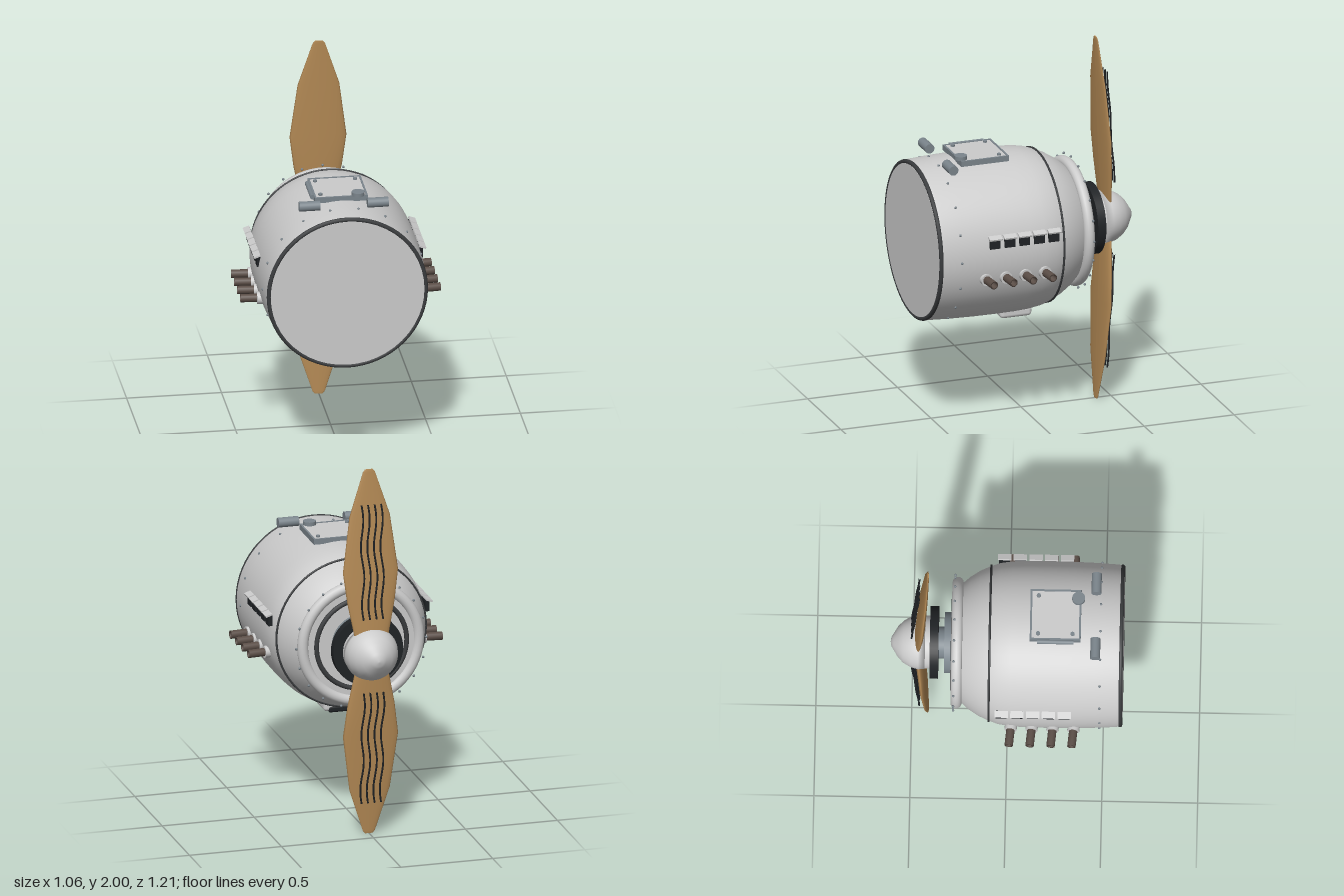
import * as THREE from 'three';
import { RoundedBoxGeometry } from 'three/addons/geometries/RoundedBoxGeometry.js';

const mat = (color, extra = {}) => new THREE.MeshStandardMaterial({ color, ...extra });
const grey = mat(0xcccccc);
const steel = mat(0x7b858c);
const dark = mat(0x3a3c3e);
const black = mat(0x202326);
const rust = mat(0x5a4d46);
const wood = mat(0xb48a55);

export function createModel() {
  const model = new THREE.Group();
  model.name = 'aircraftEngine';
  // Everything in this group is laid out around the engine axis (z)
  const engine = new THREE.Group();
  engine.name = 'engine';
  engine.position.y = 1;
  model.add(engine);

  const add = (name, geometry, material, x = 0, y = 0, z = 0, parent = engine) => {
    const mesh = new THREE.Mesh(geometry, material);
    mesh.name = name;
    mesh.position.set(x, y, z);
    parent.add(mesh);
    return mesh;
  };
  // Surface of revolution about z, from [radius, z] pairs with z increasing
  const turned = (points, segments = 64) => {
    const curve = points.map(([r, z]) => new THREE.Vector2(r, z));
    return new THREE.LatheGeometry(curve, segments).rotateX(Math.PI / 2);
  };
  // Solid disc between two z values
  const disc = (name, r, z0, z1, material) =>
    add(name, new THREE.CylinderGeometry(r, r, z1 - z0, 48).rotateX(Math.PI / 2), material, 0, 0, (z0 + z1) / 2);

  // Cowling shell, seam and mounting end
  add('cowling', turned([[0.31, -0.24], [0.345, -0.2], [0.38, -0.145], [0.402, -0.095], [0.42, -0.045],
    [0.43, 0.02], [0.434, 0.1], [0.435, 0.2], [0.434, 0.33], [0.43, 0.46], [0.424, 0.57], [0.418, 0.6]]),
    mat(0xcccccc, { side: THREE.DoubleSide }));
  add('seamBand', new THREE.TorusGeometry(0.406, 0.006, 8, 64), dark, 0, 0, -0.092);
  add('mountRim', new THREE.TorusGeometry(0.413, 0.012, 10, 64), dark, 0, 0, 0.593);
  disc('mountPlate', 0.405, 0.57, 0.603, grey);

  // Intake lip and recessed face
  add('intakeLip', new THREE.TorusGeometry(0.315, 0.029, 16, 64), grey, 0, 0, -0.264);
  disc('intakeFace', 0.305, -0.275, -0.24, grey);
  add('intakeRing', new THREE.TorusGeometry(0.245, 0.013, 10, 64), dark, 0, 0, -0.283);

  // Rivet rows
  const rivetRow = (name, count, radius, z) => {
    const row = new THREE.Group();
    row.name = name;
    engine.add(row);
    for (let i = 0; i < count; i++) {
      const a = (i / count) * Math.PI * 2;
      add('rivet', new THREE.SphereGeometry(0.007, 8, 6), steel, radius * Math.cos(a), radius * Math.sin(a), z, row);
    }
  };
  rivetRow('cowlingRivets', 18, 0.43, 0.485);
  rivetRow('lipRivets', 20, 0.353, -0.278);

  // Gearbox, shaft and spinner
  disc('gearbox', 0.16, -0.33, -0.27, steel);
  disc('shaft', 0.083, -0.37, -0.32, steel);
  disc('hubRing', 0.19, -0.405, -0.36, black);
  disc('hubBack', 0.138, -0.45, -0.403, grey);
  add('spinner', turned([[0, -0.61], [0.025, -0.606], [0.042, -0.595], [0.08, -0.572], [0.11, -0.543],
    [0.132, -0.505], [0.143, -0.465], [0.14, -0.43], [0, -0.43]], 48), grey);

  // Propeller blades: lens sections [y, half width, half thickness, centre z]
  const stations = [[0.06, 0.085, 0.02, -0.467], [0.14, 0.1, 0.02, -0.463], [0.28, 0.128, 0.021, -0.454],
    [0.45, 0.15, 0.02, -0.445], [0.75, 0.11, 0.013, -0.428], [0.985, 0.033, 0.006, -0.416], [1, 0.022, 0.004, -0.415]];
  const bladeGeometry = new THREE.CylinderGeometry(1, 1, 1, 20, stations.length - 1);
  const p = bladeGeometry.attributes.position;
  for (let i = 0; i < p.count; i++) {
    const [y, w, t, z] = stations[Math.round((p.getY(i) + 0.5) * (stations.length - 1))];
    p.setXYZ(i, p.getX(i) * w, y, z + p.getZ(i) * t);
  }
  bladeGeometry.computeVertexNormals();
  for (const turn of [0, Math.PI]) {
    const blade = new THREE.Group();
    blade.name = 'propellerBlade';
    blade.rotation.z = turn;
    engine.add(blade);
    add('bladeBody', bladeGeometry, wood, 0, 0, 0, blade);
    // Wavy grain strips on the rear face
    for (const x of [-0.053, -0.018, 0.018, 0.053]) {
      const path = [];
      for (let k = 0; k <= 12; k++) {
        const u = k / 12;
        path.push(new THREE.Vector3(x + 0.008 * Math.sin(u * Math.PI * 4), 0.2 + 0.62 * u, -0.5 + 0.04 * u));
      }
      add('grainStrip', new THREE.TubeGeometry(new THREE.CatmullRomCurve3(path), 36, 0.005, 6), black, 0, 0, 0, blade);
    }
  }

  // Access hatch on top
  const hatch = new THREE.Group();
  hatch.name = 'accessHatch';
  hatch.position.set(0, 0.44, 0.25);
  engine.add(hatch);
  add('hatchPanel', new THREE.BoxGeometry(0.27, 0.024, 0.25), grey, 0, 0, 0, hatch);
  for (const s of [-1, 1]) {
    add('hatchSideRail', new THREE.BoxGeometry(0.01, 0.03, 0.265), steel, s * 0.135, 0, 0, hatch);
    add('hatchEndRail', new THREE.BoxGeometry(0.28, 0.03, 0.01), steel, 0, 0, s * 0.128, hatch);
  }
  for (const [x, z] of [[-0.105, -0.09], [0.105, -0.09], [-0.105, 0.09]])
    add('hatchBolt', new THREE.CylinderGeometry(0.011, 0.011, 0.012, 12), steel, x, 0.015, z, hatch);
  add('hatchHinge', new THREE.CylinderGeometry(0.013, 0.013, 0.19, 14).rotateX(Math.PI / 2), steel, -0.146, 0.004, 0, hatch);
  add('latchStem', new THREE.CylinderGeometry(0.014, 0.014, 0.03, 12), steel, 0.09, 0.01, 0.118, hatch);
  add('latchKnob', new THREE.CylinderGeometry(0.034, 0.034, 0.02, 24), steel, 0.09, 0.022, 0.118, hatch);

  // Mounting lugs
  for (const s of [-1, 1])
    add('mountLug', new THREE.CylinderGeometry(0.026, 0.026, 0.11, 24).rotateZ(Math.PI / 2), steel, s * 0.18, 0.445, 0.46);

  // Louvres and exhaust stubs on both sides
  for (const s of [-1, 1]) {
    const side = new THREE.Group();
    side.name = s > 0 ? 'leftSideFittings' : 'rightSideFittings';
    engine.add(side);
    for (let i = 0; i < 5; i++) {
      const z = -0.025 + i * 0.082;
      add('louvreOpening', new THREE.BoxGeometry(0.022, 0.055, 0.057), black, s * 0.426, 0.088, z, side);
      const hood = add('louvreHood', new THREE.BoxGeometry(0.036, 0.009, 0.07), grey, s * 0.436, 0.12, z, side);
      hood.rotation.z = -s * 0.35;
    }
    for (let i = 0; i < 4; i++) {
      const stub = new THREE.Group();
      stub.name = 'exhaustStub';
      stub.position.set(s * 0.42, -0.105, 0.025 + i * 0.109);
      stub.rotation.y = s * 0.09;
      side.add(stub);
      add('exhaustFlange', new THREE.CylinderGeometry(0.032, 0.032, 0.028, 20).rotateZ(Math.PI / 2), grey, s * 0.006, 0, 0, stub);
      // Open-ended pipe
      const pipe = [[0.022, -0.055], [0.022, 0.055], [0.016, 0.055], [0.016, 0.01], [0, 0.01]]
        .map(([r, h]) => new THREE.Vector2(r, h));
      add('exhaustPipe', new THREE.LatheGeometry(pipe, 18).rotateZ(-s * Math.PI / 2), rust, s * 0.052, 0, 0, stub);
    }
  }

  // Air scoop underneath
  add('airScoop', new RoundedBoxGeometry(0.25, 0.055, 0.175, 3, 0.02), grey, 0, -0.427, 0.07);
  add('scoopMouth', new RoundedBoxGeometry(0.2, 0.036, 0.035, 3, 0.012), black, 0, -0.442, -0.004);

  return model;
}
